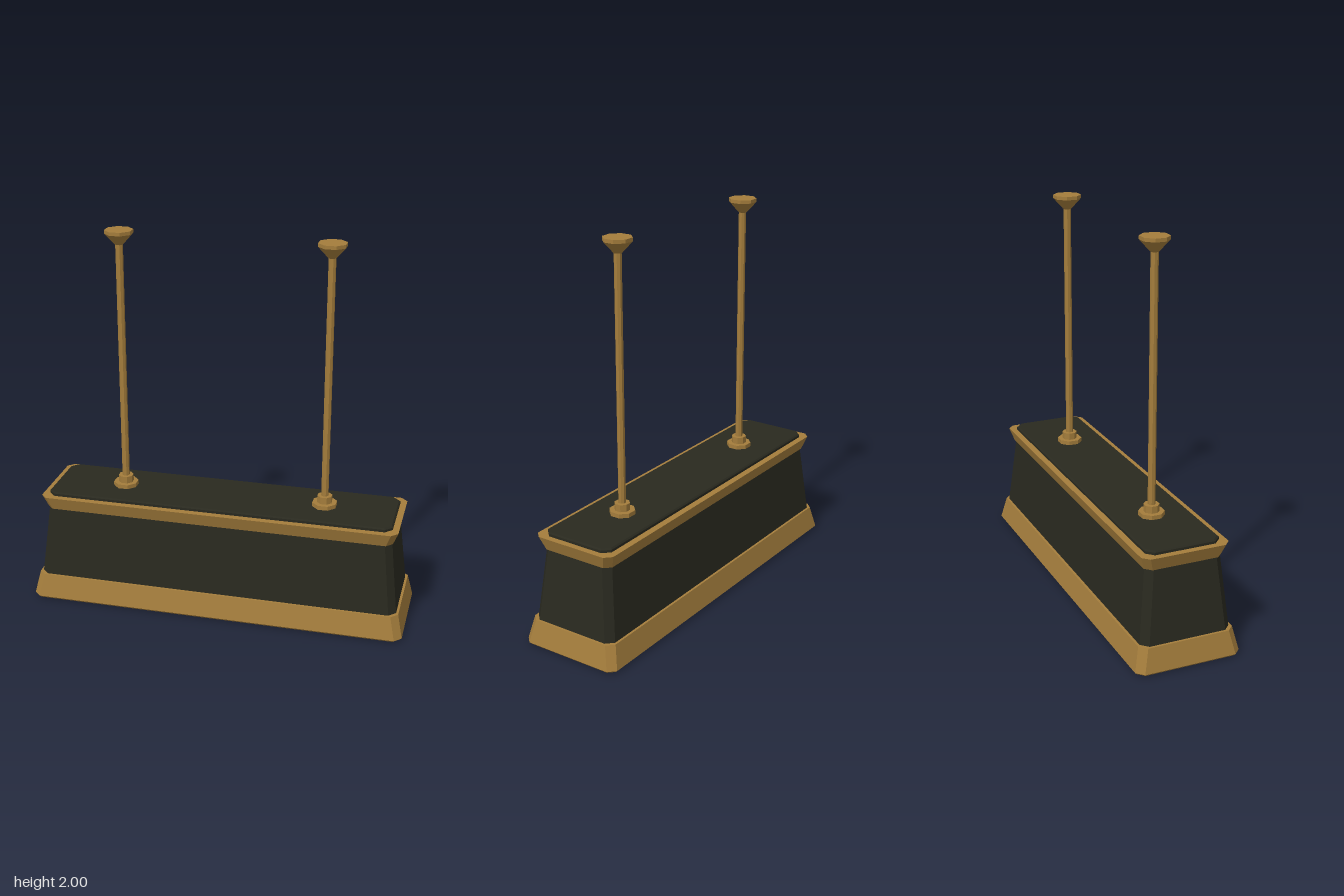
import * as THREE from 'three';

const gold = new THREE.MeshStandardMaterial({ color: 0xa47d3c, flatShading: true });
gold.name = 'antique gold';
const dark = new THREE.MeshStandardMaterial({ color: 0x29291f, flatShading: true });
dark.name = 'dark bronze';

// Rectangle with cut corners, counter-clockwise seen from above
function ring([y, hx, hz, c]) {
  return [
    [hx, hz - c], [hx, -hz + c], [hx - c, -hz], [-hx + c, -hz],
    [-hx, -hz + c], [-hx, hz - c], [-hx + c, hz], [hx - c, hz],
  ].map(([x, z]) => [x, y, z]);
}

// Closed solid through sections [y, halfX, halfZ, cornerCut], from the underside to the top
function loft(name, material, sections) {
  const rings = sections.map(ring);
  const pos = [];
  const tri = (a, b, c) => pos.push(...a, ...b, ...c);
  for (let k = 0; k < rings.length - 1; k++) {
    for (let i = 0; i < 8; i++) {
      const j = (i + 1) % 8;
      const lo = rings[k], hi = rings[k + 1];
      tri(lo[i], lo[j], hi[j]);
      tri(lo[i], hi[j], hi[i]);
    }
  }
  const bottom = rings[0], top = rings[rings.length - 1];
  for (let i = 1; i < 7; i++) {
    tri(top[0], top[i], top[i + 1]);
    tri(bottom[0], bottom[i + 1], bottom[i]);
  }
  const geometry = new THREE.BufferGeometry();
  geometry.setAttribute('position', new THREE.Float32BufferAttribute(pos, 3));
  geometry.computeVertexNormals();
  const mesh = new THREE.Mesh(geometry, material);
  mesh.name = name;
  return mesh;
}

// Octagonal piece with flats on the axes, sized by half width across flats
function octagon(name, y0, y1, w0, w1) {
  const s = 1 / Math.cos(Math.PI / 8);
  const geometry = new THREE.CylinderGeometry(w1 * s, w0 * s, y1 - y0, 8, 1, false, Math.PI / 8);
  const mesh = new THREE.Mesh(geometry, gold);
  mesh.position.y = (y0 + y1) / 2;
  mesh.name = name;
  return mesh;
}

function hangingRod(name, x) {
  const rod = new THREE.Group();
  rod.name = name;
  rod.add(
    octagon('lowerCollar', 0.6, 0.626, 0.061, 0.061),
    octagon('upperCollar', 0.626, 0.663, 0.037, 0.037),
    octagon('rod', 0.66, 1.94, 0.018, 0.018),
    octagon('canopyCone', 1.925, 1.982, 0.02, 0.068),
    octagon('canopyPlate', 1.982, 2, 0.068, 0.068),
  );
  rod.position.x = x;
  return rod;
}

export function createModel() {
  const model = new THREE.Group();
  model.name = 'linearPendantLamp';
  model.add(
    // flared base band: recessed underside panel, flat rim, small bevel, sloping face
    loft('baseTrim', gold, [
      [0.03, 0.967, 0.244, 0.026], [0, 0.967, 0.244, 0.026],
      [0, 0.987, 0.264, 0.031], [0.013, 1, 0.277, 0.036], [0.135, 0.973, 0.25, 0.036],
    ]),
    // tapered shade
    loft('shade', dark, [[0.13, 0.961, 0.238, 0.036], [0.52, 0.918, 0.198, 0.034]]),
    // crown band flaring outward
    loft('crownTrim', gold, [[0.512, 0.922, 0.204, 0.032], [0.584, 0.949, 0.229, 0.034]]),
    // bevelled lid
    loft('lid', dark, [
      [0.58, 0.916, 0.194, 0.036], [0.597, 0.916, 0.194, 0.036], [0.604, 0.909, 0.187, 0.034],
    ]),
    hangingRod('leftHangingRod', 0.54),
    hangingRod('rightHangingRod', -0.54),
  );
  return model;
}
